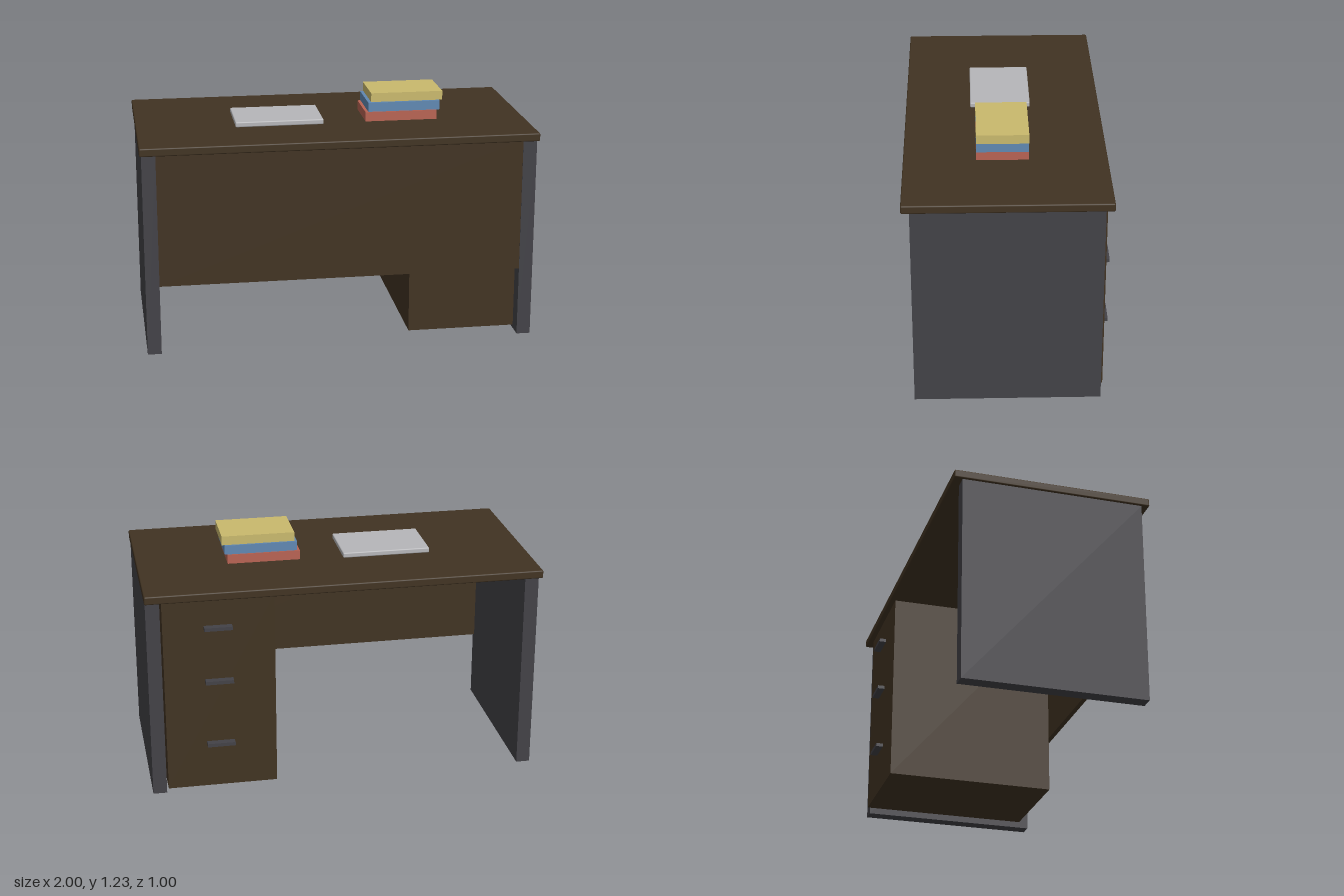
import * as THREE from 'three';
import { RoundedBoxGeometry } from 'three/addons/geometries/RoundedBoxGeometry.js';

const material = (name, color) => {
  const m = new THREE.MeshStandardMaterial({ color });
  m.name = name;
  return m;
};

export function createModel() {
  const desk = new THREE.Group();
  desk.name = 'desk';

  const wood = material('dark wood', 0x413322);
  const metal = material('charcoal metal', 0x434247);
  const silver = material('silver', 0xb6b6b9);
  const red = material('red cover', 0xb86353);
  const blue = material('blue cover', 0x6088b2);
  const yellow = material('yellow cover', 0xc9b96d);

  // Box from its limits on each axis, with optional rounded edges
  const block = (name, mat, [x0, x1], [y0, y1], [z0, z1], radius = 0) => {
    const size = [x1 - x0, y1 - y0, z1 - z0];
    const geometry = radius
      ? new RoundedBoxGeometry(...size, 2, radius)
      : new THREE.BoxGeometry(...size);
    const mesh = new THREE.Mesh(geometry, mat);
    mesh.name = name;
    mesh.position.set((x0 + x1) / 2, (y0 + y1) / 2, (z0 + z1) / 2);
    desk.add(mesh);
    return mesh;
  };

  // Desktop and the two end panels
  block('desktop', wood, [-1, 0.995], [1.045, 1.087], [-0.495, 0.502], 0.007);
  block('rightEndPanel', metal, [-0.99, -0.92], [0, 1.045], [-0.453, 0.462]);
  block('leftEndPanel', metal, [0.92, 0.99], [0, 1.045], [-0.453, 0.462]);

  // Front privacy panel
  block('privacyPanel', wood, [-0.92, 0.92], [0.36, 1.045], [0.435, 0.46]);

  // Drawer cabinet with three pulls on the back
  block('drawerCabinet', wood, [0.357, 0.912], [0.03, 1.045], [-0.467, 0.41]);
  for (const y of [0.898, 0.612, 0.27]) {
    block('drawerPull', metal, [0.57, 0.71], [y - 0.009, y + 0.009], [-0.503, -0.467]);
  }

  // Closed laptop
  block('laptop', silver, [-0.5, -0.05], [1.087, 1.114], [-0.137, 0.171], 0.006);

  // Stack of books, each shifted slightly to the side
  [['lowerBook', red, 1.087, 1.135], ['middleBook', blue, 1.137, 1.184], ['upperBook', yellow, 1.188, 1.234]]
    .forEach(([name, mat, y0, y1], i) => {
      const x = 0.17 + i * 0.014;
      block(name, mat, [x, x + 0.37], [y0, y1], [-0.11, 0.147]);
    });

  return desk;
}
